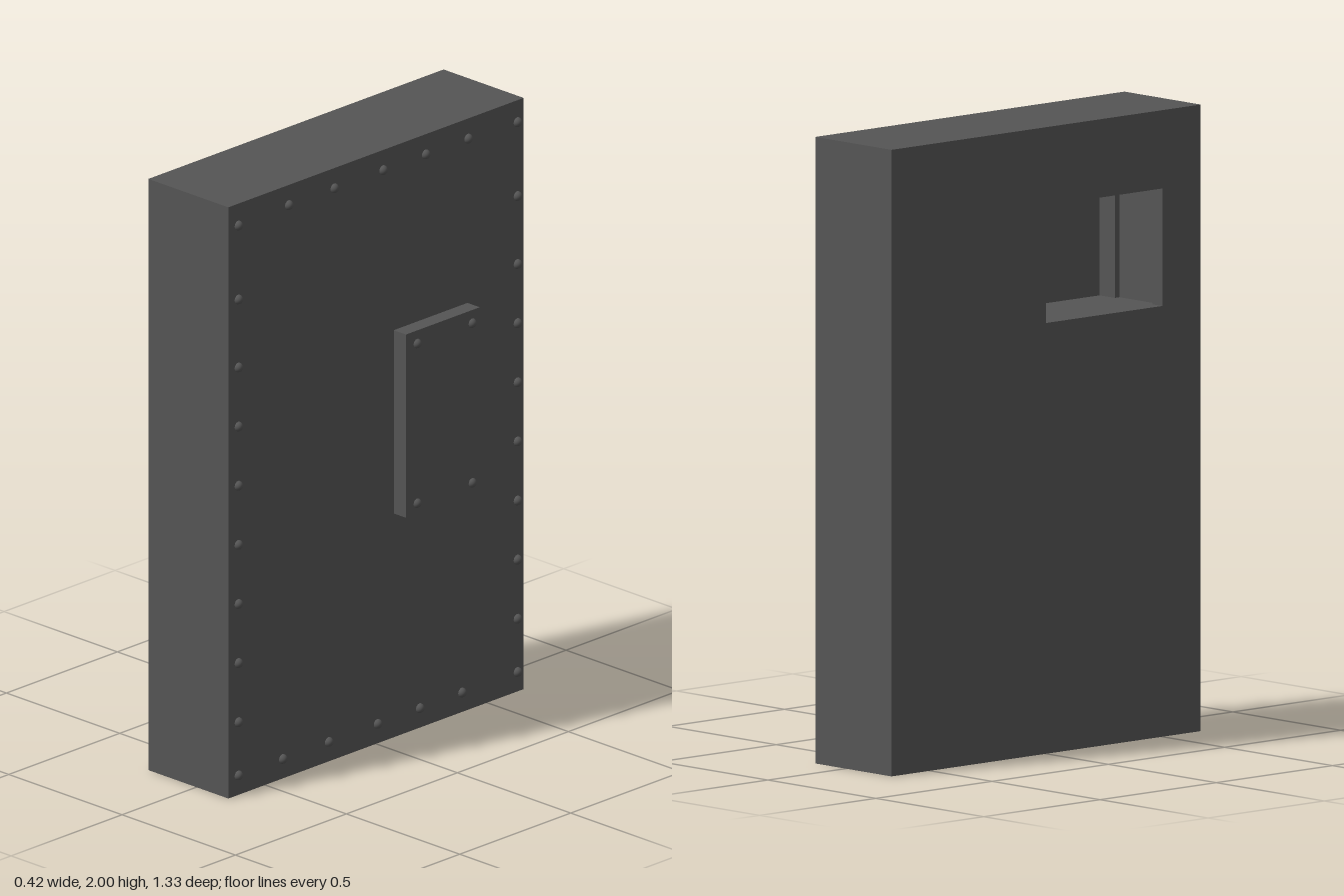
import * as THREE from 'three';

export function createModel() {
  const model = new THREE.Group();
  const steel = new THREE.MeshStandardMaterial({ color: 0x555555 });
  steel.name = 'dark steel';

  // Door slab: layers stacked along x, with the hatch opening cut from the -x side
  const X0 = -0.212, X1 = 0.141, HALF = 0.665;
  const rect = (Type, u0, u1, v0, v1) => {
    const p = new Type();
    p.moveTo(u0, v0);
    p.lineTo(u1, v0);
    p.lineTo(u1, v1);
    p.lineTo(u0, v1);
    p.closePath();
    return p;
  };
  const layer = (name, x0, x1, hole) => {
    const shape = rect(THREE.Shape, -HALF, HALF, 0, 2);
    if (hole) shape.holes.push(rect(THREE.Path, -hole[1], -hole[0], 1.375, 1.75));
    const geo = new THREE.ExtrudeGeometry(shape, { depth: x1 - x0, bevelEnabled: false });
    geo.rotateY(Math.PI / 2).translate(x0, 0, 0); // shape u becomes -z, depth becomes x
    const mesh = new THREE.Mesh(geo, steel);
    mesh.name = name;
    model.add(mesh);
  };
  layer('outerSkin', X0, X0 + 0.046, [0, 0.5]);
  layer('slabCore', X0 + 0.046, X0 + 0.22, [-0.02, 0.52]); // slightly wider slot
  layer('innerFrame', X0 + 0.22, X0 + 0.29, [0, 0.5]);
  layer('rivetedSkin', X0 + 0.29, X1, null);

  // Raised cover plate on the +x side
  const plate = new THREE.Mesh(new THREE.BoxGeometry(0.054, 0.62, 0.332), steel);
  plate.name = 'coverPlate';
  plate.position.set(0.168, 1.067, -0.246);
  model.add(plate);

  // Domed rivets, flat side towards the slab
  const dome = new THREE.SphereGeometry(0.016, 16, 8, 0, Math.PI * 2, 0, Math.PI / 2);
  const base = new THREE.CircleGeometry(0.016, 16).rotateX(Math.PI / 2);
  dome.rotateZ(-Math.PI / 2);
  base.rotateZ(-Math.PI / 2);
  const rivet = (name, x, y, z) => {
    const g = new THREE.Group();
    g.name = name;
    g.add(new THREE.Mesh(dome, steel), new THREE.Mesh(base, steel));
    g.children[0].name = 'rivetDome';
    g.children[1].name = 'rivetBase';
    g.position.set(x, y, z);
    model.add(g);
  };
  const EDGE = 0.147;
  for (const y of [0.07, 0.25, 0.45, 0.65, 0.85, 1.05, 1.25, 1.45, 1.68, 1.93]) {
    for (const z of [-0.63, 0.627]) rivet('sideRivet', EDGE, y, z);
  }
  for (const z of [0.4, 0.195, -0.025, -0.217, -0.408]) rivet('topRivet', EDGE, 1.936, z);
  for (const z of [0.427, 0.22, 0, -0.19, -0.38]) rivet('bottomRivet', EDGE, 0.07, z);
  for (const y of [0.793, 1.333]) {
    for (const z of [-0.13, -0.378]) rivet('plateRivet', 0.193, y, z);
  }
  return model;
}
